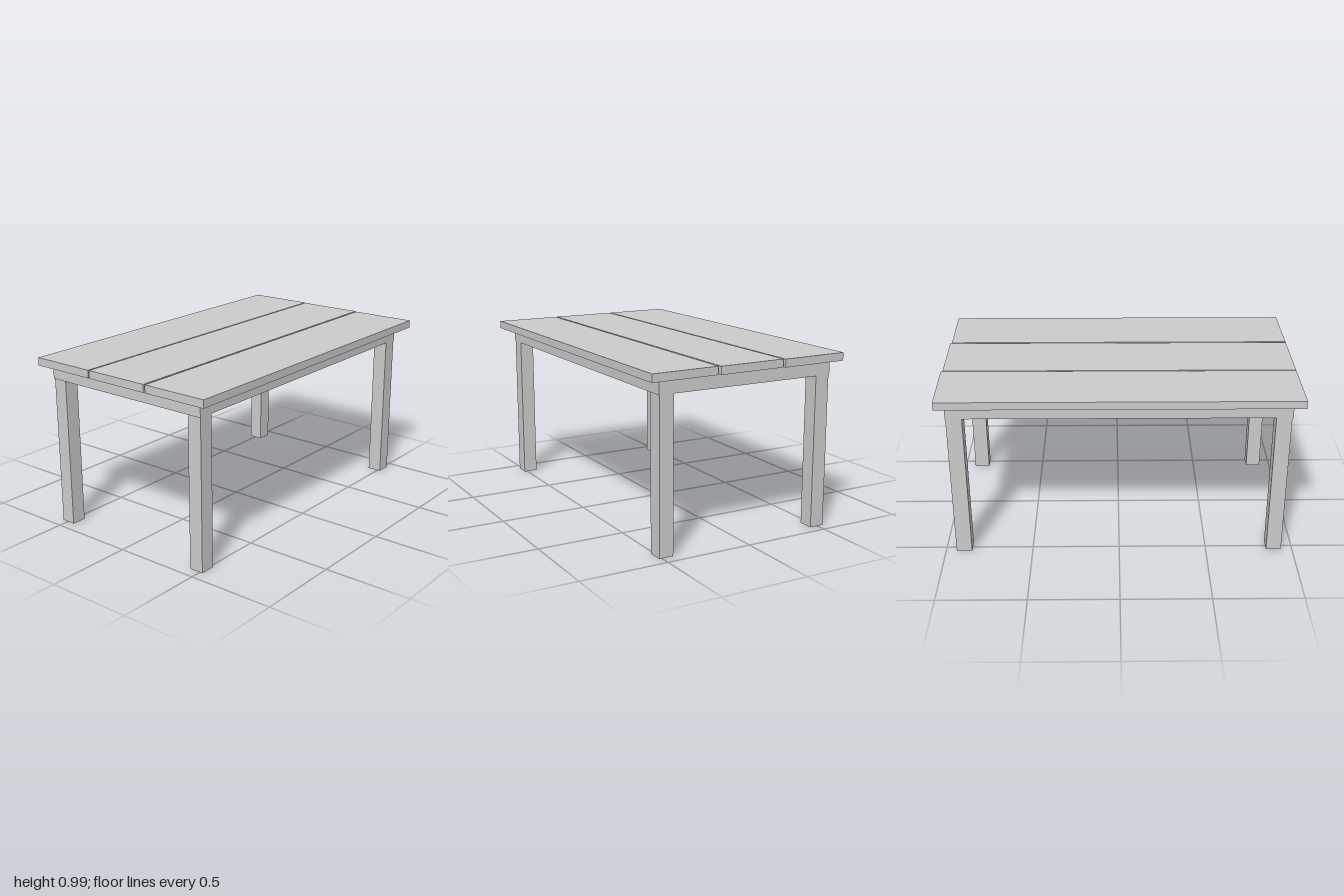
import * as THREE from 'three';

const material = new THREE.MeshStandardMaterial({ color: 0xcccccc, flatShading: true });

// Box given by its limits on each axis
function block(name, [x0, x1], [y0, y1], [z0, z1]) {
  const mesh = new THREE.Mesh(new THREE.BoxGeometry(x1 - x0, y1 - y0, z1 - z0), material);
  mesh.position.set((x0 + x1) / 2, (y0 + y1) / 2, (z0 + z1) / 2);
  mesh.name = name;
  return mesh;
}

// Tabletop board whose left end is cut slightly out of square
function plank(name, [z0, z1]) {
  const mesh = block(name, [-1, 1], [0.94, 0.985], [z0, z1]);
  const pos = mesh.geometry.attributes.position;
  for (let i = 0; i < pos.count; i++) {
    if (pos.getX(i) > 0 && pos.getZ(i) < 0) pos.setX(i, 0.991);
  }
  mesh.geometry.computeVertexNormals();
  return mesh;
}

export function createModel() {
  const table = new THREE.Group();
  table.name = 'table';

  // Three boards with narrow gaps
  const boards = { backPlank: [-0.592, -0.203], middlePlank: [-0.195, 0.194], frontPlank: [0.205, 0.592] };
  for (const [name, span] of Object.entries(boards)) table.add(plank(name, span));

  // Apron frame below the boards
  const apronY = [0.86, 0.94];
  table.add(block('frontApron', [-0.941, 0.941], apronY, [0.432, 0.52]));
  table.add(block('backApron', [-0.941, 0.941], apronY, [-0.541, -0.451]));
  table.add(block('rightApron', [-0.941, -0.847], [0.86, 0.943], [-0.451, 0.432]));
  table.add(block('leftApron', [0.847, 0.941], [0.86, 0.943], [-0.451, 0.432]));

  // Four square legs under the frame corners
  const legX = { Right: [-0.936, -0.85], Left: [0.85, 0.939] };
  const legZ = { front: [0.434, 0.517], back: [-0.537, -0.453] };
  for (const [depth, z] of Object.entries(legZ)) {
    for (const [side, x] of Object.entries(legX)) {
      table.add(block(`${depth}${side}Leg`, x, [0, 0.86], z));
    }
  }
  return table;
}
